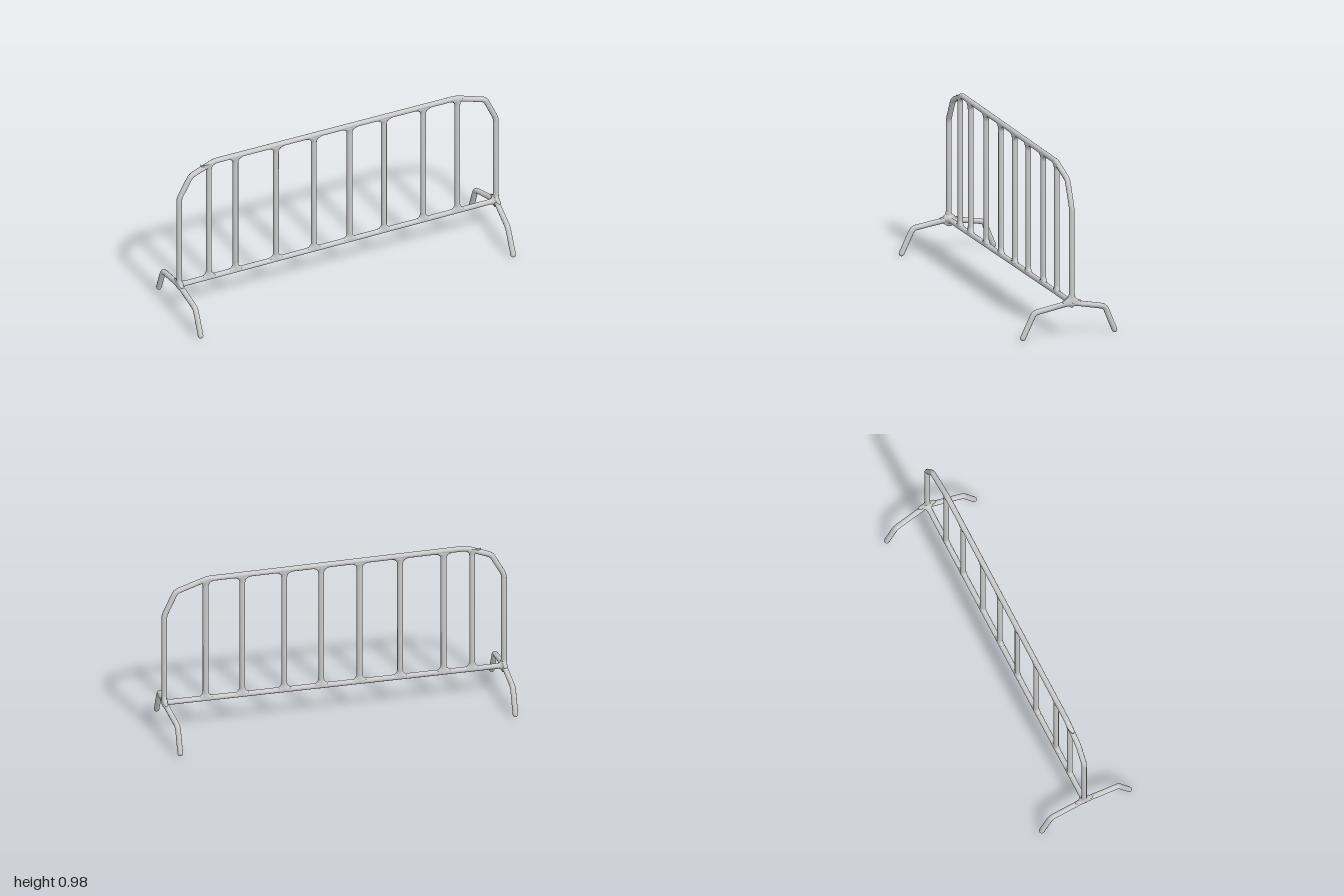
import * as THREE from 'three';

const R = 0.016;        // tube radius
const SIDES = 10;
const Z = -0.01;        // plane of the panel
const material = new THREE.MeshStandardMaterial({ color: 0xcccccc });
const V = (x, y, z = Z) => new THREE.Vector3(x, y, z);

// Station on a tube: centre, half size in the bend plane, half size along the side axis
const at = (p, a = R, b = R) => ({ p, a, b });

// Sweeps an elliptical section through the stations, with mitred bends
function sweep(name, stations, sideAxis) {
  const pos = [], index = [];
  const n = stations.length;
  stations.forEach(({ p, a, b }, i) => {
    const before = p.clone().sub(stations[Math.max(i - 1, 0)].p).normalize();
    const after = stations[Math.min(i + 1, n - 1)].p.clone().sub(p).normalize();
    const t = before.clone().add(after).normalize();
    const side = sideAxis.clone().addScaledVector(t, -sideAxis.dot(t)).normalize();
    const inPlane = new THREE.Vector3().crossVectors(t, side);
    const mitre = i > 0 && i < n - 1 ? 1 / Math.max(t.dot(after), 0.7) : 1;
    for (let k = 0; k < SIDES; k++) {
      const u = (k / SIDES) * Math.PI * 2;
      const v = p.clone().addScaledVector(side, b * Math.cos(u))
        .addScaledVector(inPlane, a * mitre * Math.sin(u));
      pos.push(v.x, v.y, v.z);
      if (i < n - 1) {
        const c = i * SIDES + k, d = i * SIDES + (k + 1) % SIDES;
        index.push(c, d, c + SIDES, d, d + SIDES, c + SIDES);
      }
    }
  });
  const g = new THREE.BufferGeometry();
  g.setAttribute('position', new THREE.Float32BufferAttribute(pos, 3));
  g.setIndex(index);
  g.computeVertexNormals();
  const mesh = new THREE.Mesh(g, material);
  mesh.name = name;
  return mesh;
}

// Softens each interior corner of a path into a short curve
function soften(points, reach) {
  const out = [points[0]];
  for (let i = 1; i < points.length - 1; i++) {
    const p = points[i];
    const toward = (q) => p.clone().add(q.clone().sub(p).setLength(reach));
    out.push(...new THREE.QuadraticBezierCurve3(toward(points[i - 1]), p, toward(points[i + 1])).getPoints(3));
  }
  out.push(points[points.length - 1]);
  return out;
}

// Weld fillet stations: the tube widens as it nears the tube it joins at 'from'
function flare(from, toward, fillet, growA, growB) {
  const dir = toward.clone().sub(from).normalize();
  const list = [at(from, R + fillet * growA, R + fillet * growB)];
  for (let i = 0; i <= 5; i++) {
    const s = 1 - Math.cos((i / 5) * Math.PI / 2);
    const extra = fillet * (1 - Math.sin((i / 5) * Math.PI / 2));
    list.push(at(from.clone().addScaledVector(dir, R * 0.7 + fillet * s),
      R + extra * growA, R + extra * growB));
  }
  return list;
}

export function createModel() {
  const model = new THREE.Group();
  model.name = 'crowdBarrier';
  const xAxis = new THREE.Vector3(1, 0, 0);
  const zAxis = new THREE.Vector3(0, 0, 1);
  const railY = (x) => 0.197 + 0.008 * x;
  const leftHub = V(-0.984, railY(-1));
  const rightHub = V(0.984, railY(1));

  // Outer hoop with chamfered upper corners
  const hoop = soften([
    leftHub, V(-0.984, 0.77), V(-0.912, 0.903), V(-0.765, 0.963),
    V(0.735, 0.963), V(0.918, 0.903), V(0.984, 0.76), rightHub,
  ], 0.02).slice(1, -1).map((p) => at(p));
  model.add(sweep('outerHoop', [
    ...flare(leftHub, V(-0.984, 0.77), 0.04, 0, 1),
    ...hoop,
    ...flare(rightHub, V(0.984, 0.76), 0.04, 0, 1).reverse(),
  ], zAxis));

  // Bottom rail, filleted into the end posts
  model.add(sweep('bottomRail', [
    ...flare(leftHub, rightHub, 0.025, 0.9, 0.9),
    ...flare(rightHub, leftHub, 0.025, 0.9, 0.9).reverse(),
  ], zAxis));

  // Vertical bars, filleted at both rails
  const bars = new THREE.Group();
  bars.name = 'verticalBars';
  for (const x of [-0.80, -0.634, -0.382, -0.147, 0.075, 0.289, 0.532, 0.745]) {
    const low = V(x, railY(x)), high = V(x, 0.959);
    bars.add(sweep('verticalBar', [
      ...flare(low, high, 0.035, 1, 0.03),
      ...flare(high, low, 0.035, 1, 0.03).reverse(),
    ], zAxis));
  }
  model.add(bars);

  // Bent legs at each end, front and back, with rounded feet
  for (const [hub, footX, label] of [[leftHub, -0.984, 'right'], [rightHub, 0.958, 'left']]) {
    for (const s of [1, -1]) {
      const knee = V(footX, 0.157, s === 1 ? 0.205 : -0.22);
      const foot = V(footX, 0.016, s === 1 ? 0.273 : -0.277);
      const path = soften([hub, knee, foot], 0.022).slice(1).map((p) => at(p));
      const down = foot.clone().sub(knee).normalize();
      for (let i = 1; i <= 4; i++) {
        const u = (i / 4) * Math.PI / 2;
        const r = R * Math.cos(u);
        path.push(at(foot.clone().addScaledVector(down, R * Math.sin(u)), r, r));
      }
      model.add(sweep(label + (s === 1 ? 'FrontLeg' : 'BackLeg'),
        [...flare(hub, knee, 0.03, 0.4, 0), ...path], xAxis));
    }
  }
  return model;
}
